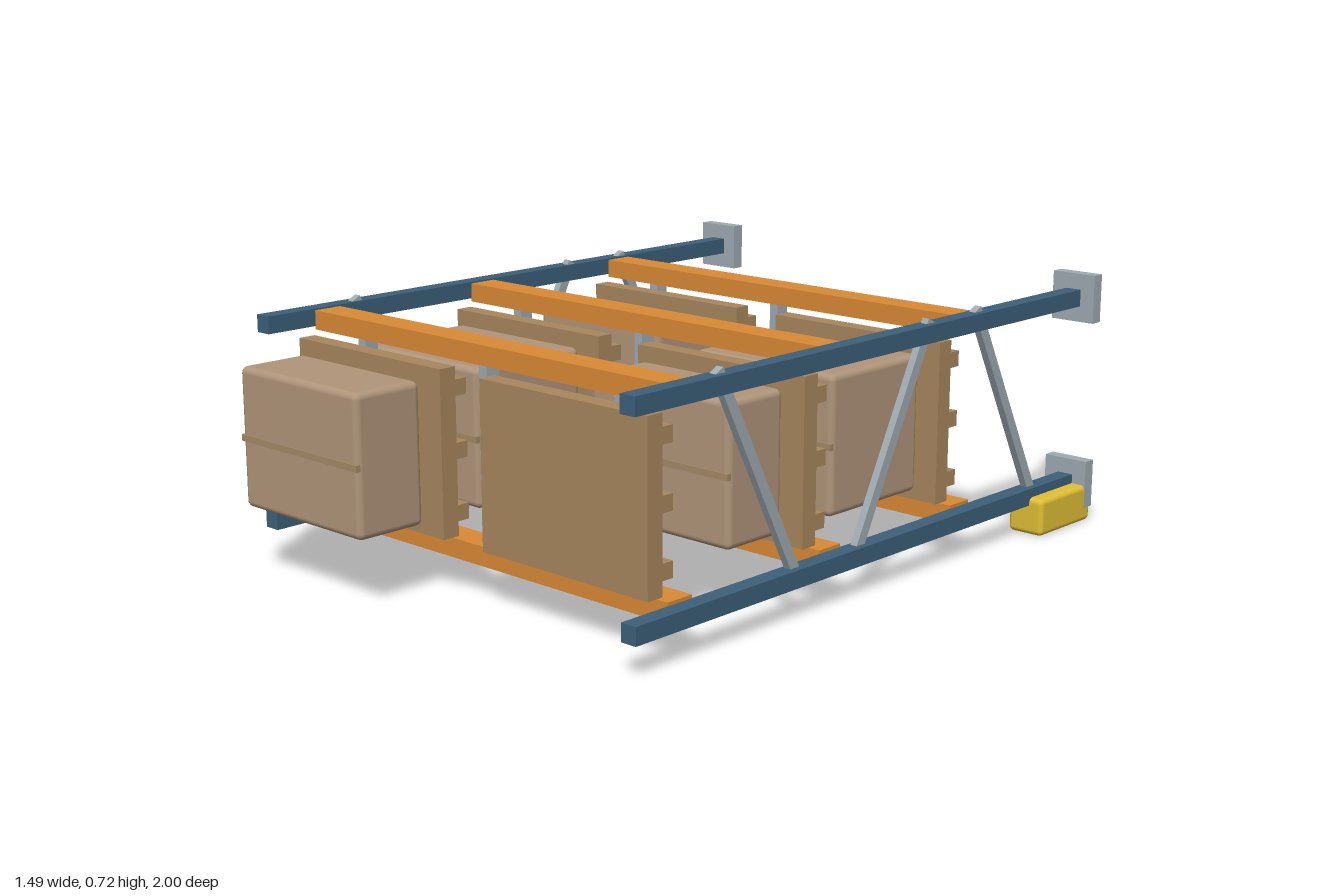
import * as THREE from 'three';
import { RoundedBoxGeometry } from 'three/addons/geometries/RoundedBoxGeometry.js';

const mat = (color) => new THREE.MeshStandardMaterial({ color });

export function createModel() {
  const model = new THREE.Group();
  model.name = 'palletRack';

  const blue = mat(0x3c6079);
  const orange = mat(0xd98a35);
  const steel = mat(0x9fabb2);
  const yellow = mat(0xe0bf35);
  const wood = mat(0xa8875d);
  const card = mat(0xb0957a);
  const tapeMat = mat(0xa68a66);

  // Box given by its [min, max] range on each axis; optional rounded edges
  function box(parent, name, material, [x0, x1], [y0, y1], [z0, z1], radius = 0) {
    const w = x1 - x0, h = y1 - y0, d = z1 - z0;
    const geo = radius
      ? new RoundedBoxGeometry(w, h, d, 3, radius)
      : new THREE.BoxGeometry(w, h, d);
    const mesh = new THREE.Mesh(geo, material);
    mesh.name = name;
    mesh.position.set((x0 + x1) / 2, (y0 + y1) / 2, (z0 + z1) / 2);
    parent.add(mesh);
    return mesh;
  }
  const around = (c, size) => [c - size / 2, c + size / 2];

  // Side frames: two posts with base plates, braces and a post guard
  const braces = [
    [0.685, 0.555, 0.083, 0.243],
    [0.685, -0.278, 0.083, 0.03],
    [0.685, -0.487, 0.083, -0.8],
  ];
  for (const side of [-1, 1]) {
    const frame = new THREE.Group();
    frame.name = side > 0 ? 'leftFrame' : 'rightFrame';
    model.add(frame);
    const x = side * 0.679;

    for (const y of [0.11, 0.654]) {
      box(frame, 'post', blue, around(x, 0.048), around(y, 0.048), [-0.97, 0.86]);
      box(frame, 'basePlate', steel, around(x, 0.136), around(y, 0.138), [-1, -0.962]);
    }

    for (const [y0, z0, y1, z1] of braces) {
      const length = Math.hypot(y0 - y1, z0 - z1);
      const brace = new THREE.Mesh(new THREE.BoxGeometry(0.021, length, 0.03), steel);
      brace.name = 'brace';
      brace.position.set(side * 0.674, (y0 + y1) / 2, (z0 + z1) / 2);
      brace.rotation.x = Math.atan2(z0 - z1, y0 - y1);
      frame.add(brace);
    }

    box(frame, 'postGuard', yellow, around(side * 0.69, 0.112), [0, 0.108], [-0.998, -0.744], 0.015);
  }

  // Load depths per level: [model's right, model's left], 0 = empty pallet
  const loads = [
    [0.256, 0.37],
    [0.376, 0.204],
    [0.209, 0],
  ];

  loads.forEach((depths, i) => {
    const level = new THREE.Group();
    level.name = 'level' + (i + 1);
    model.add(level);
    const z = -0.469 + i * 0.565;

    // Beams and the ties joining them
    for (const y of [0.117, 0.647]) {
      box(level, 'beam', orange, [-0.656, 0.656], around(y, 0.053), around(z, 0.085));
    }
    for (const x of [-0.481, 0, 0.481]) {
      box(level, 'beamTie', steel, around(x, 0.029), [0.13, 0.635], around(z + 0.003, 0.043));
    }

    depths.forEach((depth, j) => {
      const x = (j ? 1 : -1) * 0.362;

      // Pallet: a deck on three runners
      const pallet = new THREE.Group();
      pallet.name = 'pallet';
      level.add(pallet);
      box(pallet, 'deck', wood, around(x, 0.575), [0.158, 0.607], [z + 0.052, z + 0.103]);
      for (const y of [0.219, 0.385, 0.551]) {
        box(pallet, 'runner', wood, around(x, 0.575), around(y, 0.043), [z + 0.016, z + 0.053]);
      }

      // Carton with a strip of tape on its far face
      if (!depth) return;
      const z0 = z + 0.127;
      box(level, 'carton', card, around(x, 0.479), [0.193, 0.574], [z0, z0 + depth], 0.018);
      box(level, 'tape', tapeMat, around(x, 0.475), around(0.383, 0.018), [z0 + depth - 0.01, z0 + depth + 0.003]);
    });
  });

  return model;
}
